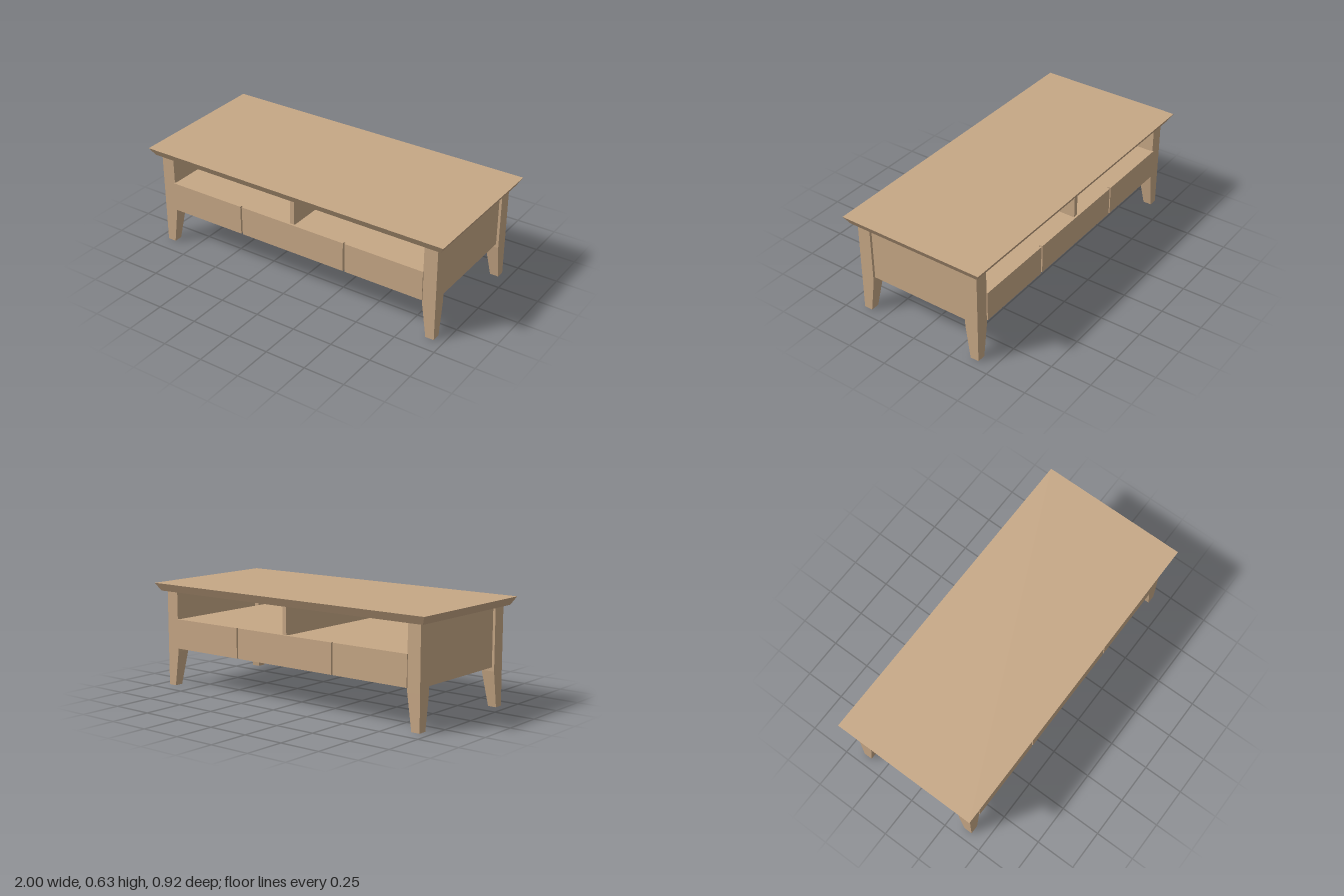
import * as THREE from 'three';

const wood = new THREE.MeshStandardMaterial({ color: 0xc6a785 });
wood.name = 'light wood';

// Box given by its minimum and maximum corners
function slab(name, x0, x1, y0, y1, z0, z1) {
  const mesh = new THREE.Mesh(new THREE.BoxGeometry(x1 - x0, y1 - y0, z1 - z0), wood);
  mesh.position.set((x0 + x1) / 2, (y0 + y1) / 2, (z0 + z1) / 2);
  mesh.name = name;
  return mesh;
}

// Moves box vertices by a rule and recomputes flat normals
function reshape(geometry, rule) {
  const p = geometry.attributes.position;
  const v = new THREE.Vector3();
  for (let i = 0; i < p.count; i++) {
    rule(v.fromBufferAttribute(p, i));
    p.setXYZ(i, v.x, v.y, v.z);
  }
  const flat = geometry.toNonIndexed();
  flat.computeVertexNormals();
  return flat;
}

// Table top with an undercut bevel on all four edges
function tableTop() {
  const geometry = reshape(new THREE.BoxGeometry(2, 0.048, 0.916), (v) => {
    if (v.y < 0) {
      v.x -= Math.sign(v.x) * 0.028;
      v.z -= Math.sign(v.z) * 0.028;
    }
  });
  const mesh = new THREE.Mesh(geometry, wood);
  mesh.position.y = 0.61;
  mesh.name = 'tableTop';
  return mesh;
}

// Square leg whose two inner faces taper towards the foot
function leg(sx, sz) {
  const width = 0.083, height = 0.586, taperStart = 0.213;
  const geometry = reshape(new THREE.BoxGeometry(width, height, width, 1, 2, 1), (v) => {
    if (Math.abs(v.y) < 0.01) v.y = taperStart - height / 2;
    else if (v.y < 0) {
      if (v.x * sx < 0) v.x += sx * 0.03;
      if (v.z * sz < 0) v.z += sz * 0.03;
    }
  });
  const mesh = new THREE.Mesh(geometry, wood);
  mesh.position.set(sx * 0.902, height / 2, sz * 0.3635);
  mesh.name = 'leg';
  return mesh;
}

export function createModel() {
  const table = new THREE.Group();
  table.name = 'coffeeTable';
  table.add(tableTop());

  // Legs and slightly recessed end panels
  for (const sx of [-1, 1]) {
    for (const sz of [-1, 1]) table.add(leg(sx, sz));
    const [a, b] = [0.89 * sx, 0.928 * sx];
    table.add(slab('endPanel', Math.min(a, b), Math.max(a, b), 0.236, 0.586, -0.322, 0.322));
  }

  // Drawer case, whose top is the open shelf, and the upright divider
  table.add(slab('drawerCase', -0.86, 0.86, 0.237, 0.415, -0.394, 0.394));
  table.add(slab('shelfDivider', -0.014, 0.014, 0.415, 0.586, -0.4, 0.4));

  // Three drawer fronts on each long side
  for (const sz of [-1, 1]) {
    for (const [x0, x1] of [[-0.862, -0.362], [-0.351, 0.351], [0.362, 0.862]]) {
      const z = [0.394 * sz, 0.412 * sz].sort((a, b) => a - b);
      table.add(slab('drawerFront', x0, x1, 0.236, 0.418, z[0], z[1]));
    }
  }
  return table;
}
